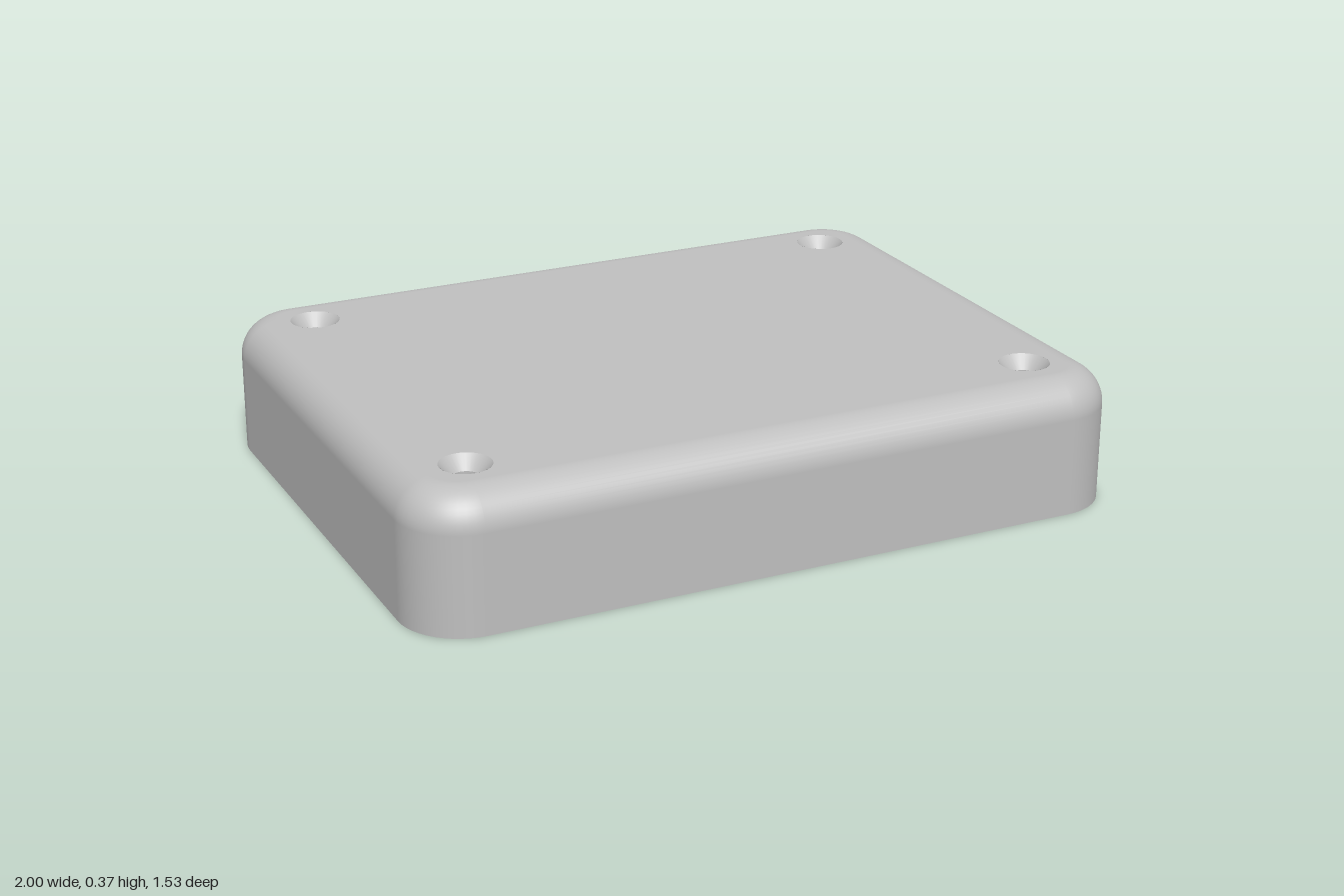
import * as THREE from 'three';

const HX = 1, HZ = 0.767, H = 0.37;            // half sizes and height
const CORNER = 0.17, FILLET = 0.1;             // plan corner and top edge radii
const POCKET = { x0: -0.784, x1: 0.95, z: 0.46, y: 0.195 };
const SCREW_R = 0.035, SINK_R = 0.068, SINK_D = 0.036, STUD_R = 0.03, STUD_D = 0.1;

const screws = [[-0.8, -0.567], [0.8, -0.567], [0.8, 0.567], [-0.8, 0.567]];
const studs = [[0.72, 0.396], [0.70, -0.41], [-0.155, 0.313], [-0.155, -0.154], [-0.55, -0.41], [-0.66, 0.396]];

// Rounded outline: core point plus direction, running from the +x side round to the +x side
function outline() {
  const pts = [], n = 12;
  [[1, 1], [-1, 1], [-1, -1], [1, -1]].forEach(([sx, sz], q) => {
    for (let i = 0; i <= n; i++) {
      const a = (q + i / n) * Math.PI / 2;
      pts.push({ x: sx * (HX - CORNER), z: sz * (HZ - CORNER), dx: Math.cos(a), dz: Math.sin(a) });
    }
  });
  return pts;
}

// Skin through stacked outlines; each level is [height, inset, slope angle of normal]
function skin(levels, closed) {
  const loop = outline();
  if (closed) loop.push(loop[0]);
  const pos = [], nor = [], idx = [], w = loop.length;
  levels.forEach(([y, inset, a], j) => loop.forEach((p, i) => {
    const r = CORNER - inset;
    pos.push(p.x + p.dx * r, y, p.z + p.dz * r);
    nor.push(p.dx * Math.cos(a), Math.sin(a), p.dz * Math.cos(a));
    if (j && i) {
      const d = j * w + i, c = d - 1, b = d - w, e = b - 1;
      idx.push(e, c, b, b, c, d);
    }
  }));
  const g = new THREE.BufferGeometry();
  g.setAttribute('position', new THREE.Float32BufferAttribute(pos, 3));
  g.setAttribute('normal', new THREE.Float32BufferAttribute(nor, 3));
  g.setIndex(idx);
  return g;
}

const circle = (x, y, r) => new THREE.Path().absarc(x, y, r, 0, Math.PI * 2, true);

function rect(path, x0, y0, x1, y1) {
  return path.moveTo(x0, y0).lineTo(x1, y0).lineTo(x1, y1).lineTo(x0, y1).closePath();
}

const plate = inset => new THREE.Shape(outline().map(p =>
  new THREE.Vector2(p.x + p.dx * (CORNER - inset), p.z + p.dz * (CORNER - inset))));

export function createModel() {
  const group = new THREE.Group();
  const grey = new THREE.MeshStandardMaterial({ color: 0xbfbfbf, side: THREE.DoubleSide });
  grey.name = 'grey plastic';
  const add = (name, geometry, x = 0, y = 0, z = 0) => {
    const m = new THREE.Mesh(geometry, grey);
    m.name = name;
    m.position.set(x, y, z);
    group.add(m);
  };

  // Outer walls, open at the flat port side, and the rounded top edge
  add('outerWalls', skin([[0, 0, 0], [H - FILLET, 0, 0]], false));
  const arc = [];
  for (let i = 0; i <= 12; i++) {
    const a = i / 12 * Math.PI / 2;
    arc.push([H - FILLET + FILLET * Math.sin(a), FILLET * (1 - Math.cos(a)), a]);
  }
  add('roundedTopEdge', skin(arc, true));

  // Top face with countersunk openings
  const top = plate(FILLET);
  screws.forEach(([x, z]) => top.holes.push(circle(x, -z, SINK_R)));
  add('topFace', new THREE.ShapeGeometry(top, 32).rotateX(-Math.PI / 2), 0, H, 0);

  // Underside rim around the pocket
  const rim = plate(0);
  rim.holes.push(rect(new THREE.Path(), POCKET.x0, -POCKET.z, POCKET.x1, POCKET.z));
  screws.forEach(([x, z]) => rim.holes.push(circle(x, z, SCREW_R)));
  add('bottomRim', new THREE.ShapeGeometry(rim, 32).rotateX(Math.PI / 2));

  // Screw holes running right through the corners
  const bore = H - SINK_D;
  screws.forEach(([x, z]) => {
    add('countersink', new THREE.CylinderGeometry(SINK_R, SCREW_R, SINK_D, 32, 1, true), x, H - SINK_D / 2, z);
    add('screwBore', new THREE.CylinderGeometry(SCREW_R, SCREW_R, bore, 32, 1, true), x, bore / 2, z);
  });

  // Port wall: round power hole, square socket and slot
  const flat = HZ - CORNER;
  const wall = rect(new THREE.Shape(), -flat, 0, flat, H - FILLET);
  const slot = new THREE.Path();
  slot.absarc(0.268, 0.127, 0.028, -Math.PI / 2, Math.PI / 2, false);
  slot.absarc(0.157, 0.127, 0.028, Math.PI / 2, Math.PI * 1.5, false);
  slot.closePath();
  wall.holes.push(circle(-0.29, 0.103, 0.053), rect(new THREE.Path(), -0.177, 0.02, 0.07, 0.147), slot);
  const wallGeo = new THREE.ExtrudeGeometry(wall, { depth: HX - POCKET.x1, bevelEnabled: false, curveSegments: 24 });
  add('portWall', wallGeo.rotateY(Math.PI / 2), POCKET.x1, 0, 0);

  // Pocket side walls
  const length = POCKET.x1 - POCKET.x0, midX = (POCKET.x1 + POCKET.x0) / 2;
  for (const s of [-1, 1]) {
    const side = new THREE.PlaneGeometry(length, POCKET.y);
    if (s > 0) side.rotateY(Math.PI);
    add('pocketSideWall', side, midX, POCKET.y / 2, s * POCKET.z);
  }
  add('pocketEndWall', new THREE.PlaneGeometry(2 * POCKET.z, POCKET.y).rotateY(Math.PI / 2), POCKET.x0, POCKET.y / 2, 0);

  // Pocket ceiling with blind mounting holes
  const ceiling = rect(new THREE.Shape(), POCKET.x0, -POCKET.z, POCKET.x1, POCKET.z);
  studs.forEach(([x, z]) => ceiling.holes.push(circle(x, z, STUD_R)));
  add('pocketCeiling', new THREE.ShapeGeometry(ceiling, 24).rotateX(Math.PI / 2), 0, POCKET.y, 0);
  studs.forEach(([x, z]) => {
    add('mountingHole', new THREE.CylinderGeometry(STUD_R, STUD_R, STUD_D, 24, 1, true), x, POCKET.y + STUD_D / 2, z);
    add('mountingHoleEnd', new THREE.CircleGeometry(STUD_R, 24).rotateX(Math.PI / 2), x, POCKET.y + STUD_D, z);
  });

  return group;
}
